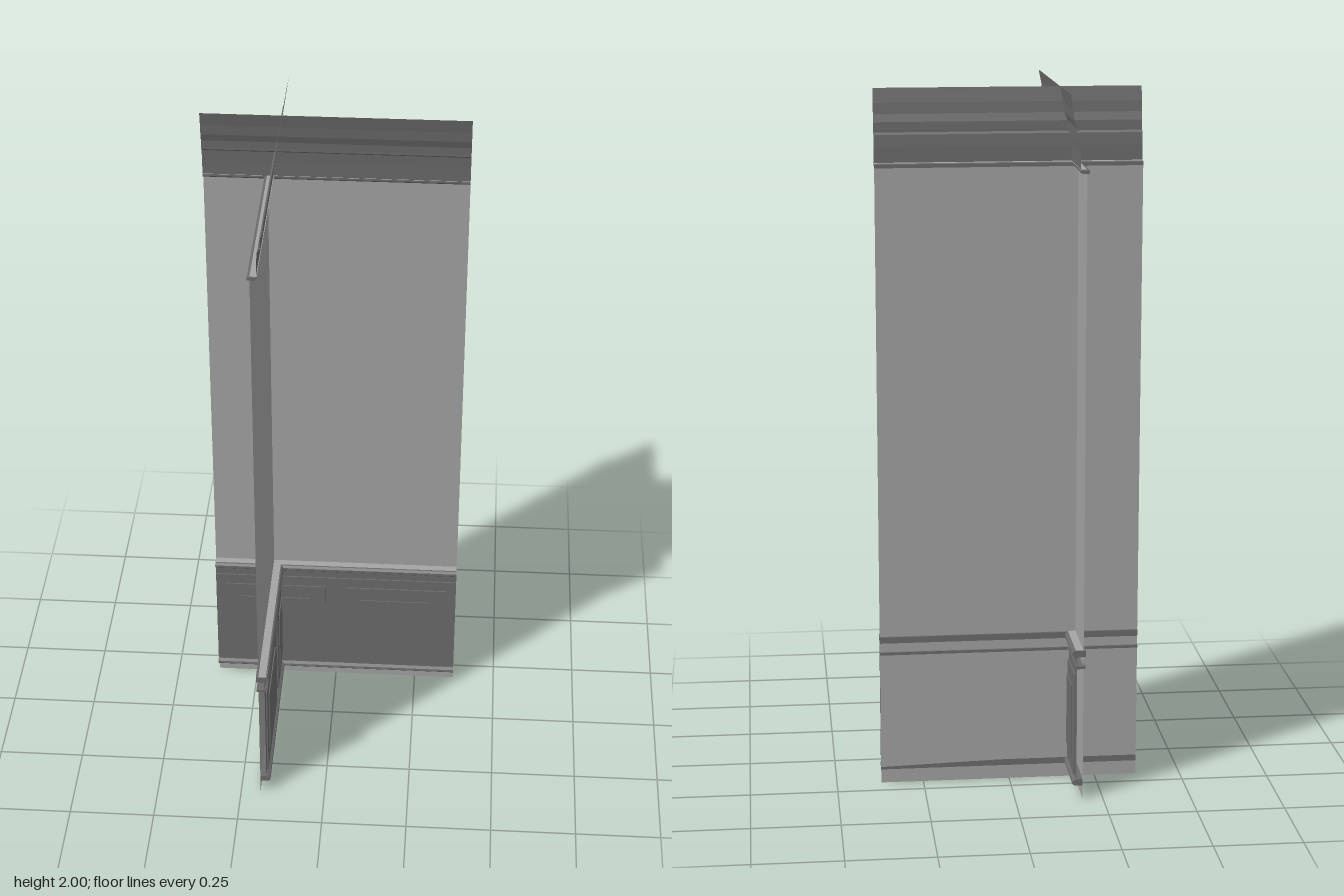
import * as THREE from 'three';

const LENGTH = 0.744;

const plaster = new THREE.MeshStandardMaterial({ color: 0xa4a4a4, side: THREE.DoubleSide });
plaster.name = 'light grey plaster';
const trim = new THREE.MeshStandardMaterial({ color: 0x6c6c6c, side: THREE.DoubleSide });
trim.name = 'dark grey trim';

function add(group, name, geometry, material, x = 0, y = 0, z = 0) {
  const mesh = new THREE.Mesh(geometry, material);
  mesh.name = name;
  mesh.position.set(x, y, z);
  group.add(mesh);
  return mesh;
}

// Open sheet swept along the wall from [depth, height] points, with sharp edges
function sheet(profile) {
  const h = LENGTH / 2;
  const pos = [];
  for (let i = 0; i < profile.length - 1; i++) {
    const [z0, y0] = profile[i];
    const [z1, y1] = profile[i + 1];
    pos.push(-h, y0, z0, h, y0, z0, h, y1, z1);
    pos.push(-h, y0, z0, h, y1, z1, -h, y1, z1);
  }
  const g = new THREE.BufferGeometry();
  g.setAttribute('position', new THREE.Float32BufferAttribute(pos, 3));
  g.computeVertexNormals();
  return g;
}

// Solid moulding swept along the wall from a closed [depth, height] outline
function moulding(outline) {
  const shape = new THREE.Shape(outline.map(([z, y]) => new THREE.Vector2(z, y)));
  const g = new THREE.ExtrudeGeometry(shape, { depth: LENGTH, bevelEnabled: false });
  g.translate(0, 0, -LENGTH / 2);
  g.rotateY(-Math.PI / 2);
  return g;
}

// One wall, facing +z, with its plaster sheet on z = 0
function makeWall(name) {
  const wall = new THREE.Group();
  wall.name = name;

  add(wall, 'wallSheet', sheet([[0, 0], [0, 1.795]]), plaster);

  // Crown moulding leaning outwards
  add(wall, 'crownLedge', sheet([[0, 1.798], [0.019, 1.798]]), plaster);
  add(wall, 'crownBead', moulding([
    [-0.007, 1.786], [0.013, 1.786], [0.018, 1.791], [0.018, 1.796], [-0.007, 1.796],
  ]), trim);
  add(wall, 'crownMoulding', sheet([
    [0.017, 1.796], [0.018, 1.84], [0.021, 1.874], [0.028, 1.88], [0.028, 1.887],
    [0.029, 1.908], [0.036, 1.93], [0.039, 1.96], [0.047, 2.0],
  ]), trim);

  // Wainscot backing and two raised panels
  add(wall, 'wainscot', sheet([[0.018, 0.05], [0.018, 0.425]]), trim);
  for (const side of [-1, 1]) {
    const x = side * LENGTH / 4;
    add(wall, 'panelFrame', new THREE.BoxGeometry(0.31, 0.3, 0.004), trim, x, 0.21, 0.02);
    add(wall, 'panelField', new THREE.BoxGeometry(0.22, 0.21, 0.004), trim, x, 0.21, 0.023);
  }

  // Chair rail with its lower fillet
  add(wall, 'chairRail', moulding([
    [-0.007, 0.424], [0.024, 0.422], [0.031, 0.428], [0.031, 0.436], [0.026, 0.442], [-0.007, 0.442],
  ]), trim);
  add(wall, 'railCap', sheet([[0, 0.443], [0.022, 0.443]]), plaster);
  add(wall, 'railFillet', moulding([
    [-0.006, 0.388], [0.022, 0.388], [0.022, 0.396], [-0.006, 0.396],
  ]), trim);

  // Base bead
  add(wall, 'baseBead', moulding([
    [0, 0.04], [0.024, 0.04], [0.03, 0.046], [0.029, 0.053], [0.02, 0.058], [0, 0.058],
  ]), trim);
  return wall;
}

export function createModel() {
  const model = new THREE.Group();
  model.name = 'panelledWallCorner';

  const backWall = makeWall('backWall');
  backWall.position.z = -0.19;

  const sideWall = makeWall('sideWall');
  sideWall.rotation.y = Math.PI / 2;
  sideWall.position.x = -0.192;

  model.add(backWall, sideWall);
  return model;
}
